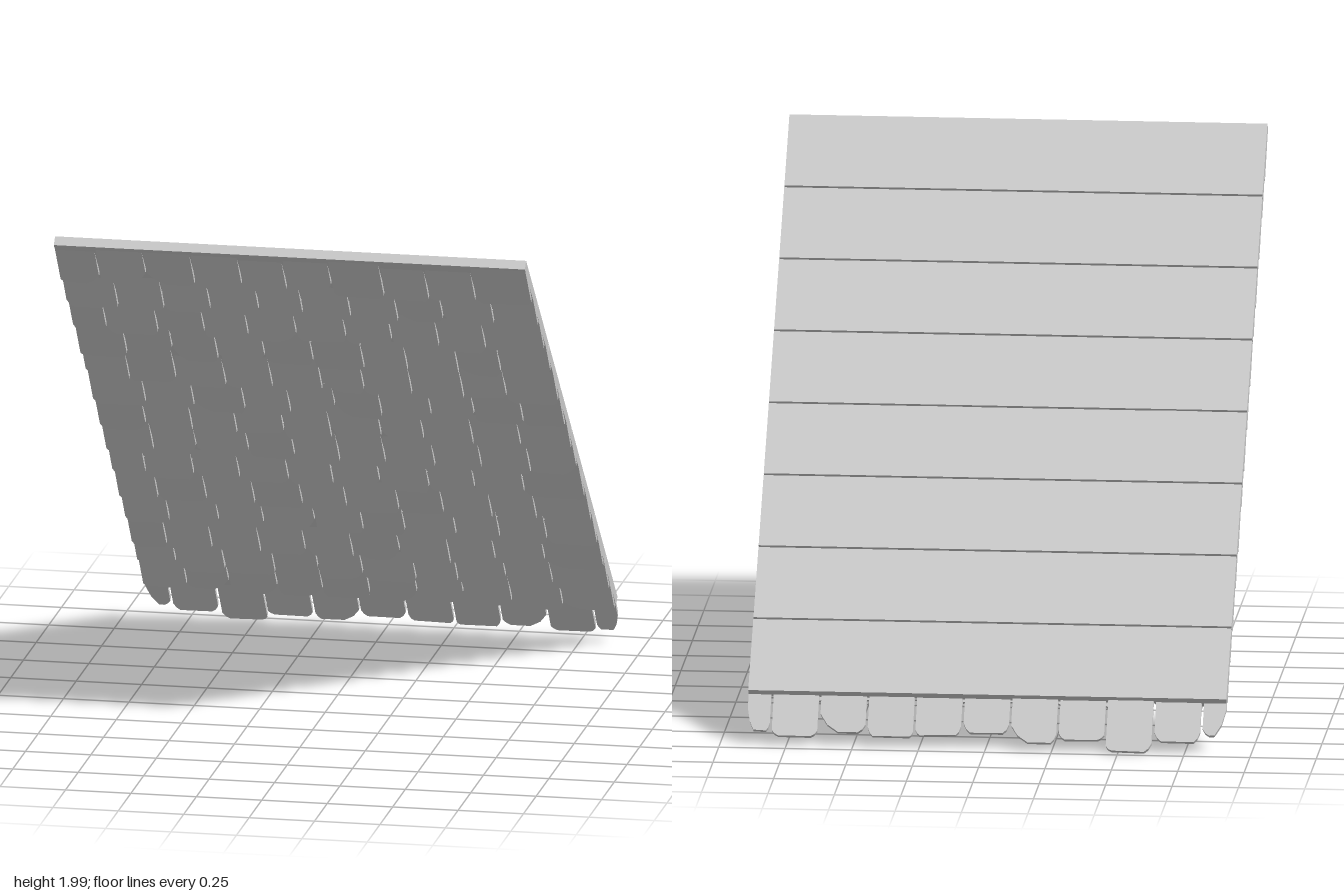
import * as THREE from 'three';

const HALF = 0.9;          // half width of the panel
const LENGTH = 2.546;      // length along the slope
const PLANK_T = 0.038;     // plank thickness
const TILE_T = 0.016;      // shingle thickness
const TILE_OUT = 0.066;    // how far the butt edge stands off the plank tops
const STEP = 0.18;         // typical shingle width

// butt-edge height of each course, and the first joint along x
const COURSES = [
  [0.04, -0.81], [0.15, -0.74], [0.26, -0.745], [0.365, -0.77], [0.5, -0.72],
  [0.62, -0.74], [0.75, -0.765], [0.88, -0.72], [1.01, -0.73], [1.135, -0.69],
  [1.265, -0.73], [1.395, -0.72], [1.53, -0.76], [1.66, -0.71], [1.79, -0.75],
];
const EAVE_Y = [0.06, 0.04, 0.006, 0.04, 0.028, 0.055, 0.045, 0.04, 0.05, 0.035, 0.05];

function seeded(seed) {
  return () => {
    seed = (seed * 16807) % 2147483647;
    return seed / 2147483647;
  };
}

// one slab with clipped lower corners: a, b are [width, height] of each clip
function shingleGeometry(w, h, a, b, slant) {
  const s = new THREE.Shape();
  s.moveTo(0, h);
  s.lineTo(0, a[1]);
  s.quadraticCurveTo(a[0] * 0.3, a[1] * 0.3, a[0], Math.max(slant, 0));
  s.lineTo(w - b[0], Math.max(-slant, 0));
  s.quadraticCurveTo(w - b[0] * 0.3, b[1] * 0.3, w, b[1]);
  s.lineTo(w, h);
  return new THREE.ExtrudeGeometry(s, { depth: TILE_T, bevelEnabled: false, curveSegments: 2 });
}

export function createModel() {
  const model = new THREE.Group();
  model.name = 'roofPanel';
  const material = new THREE.MeshStandardMaterial({ color: 0xcccccc, flatShading: true });

  // slope frame: x across, y up the slope, z out through the shingled face
  const slope = new THREE.Group();
  slope.name = 'slope';
  slope.position.set(0, 0.2, -0.87);
  slope.rotation.x = Math.PI / 4;
  model.add(slope);

  // boards
  const planks = new THREE.Group();
  planks.name = 'planks';
  slope.add(planks);
  const pitch = LENGTH / 8;
  const gap = 0.008;
  for (let i = 0; i < 8; i++) {
    const lo = i * pitch + (i ? gap / 2 : 0);
    const hi = (i + 1) * pitch - (i < 7 ? gap / 2 : 0);
    const plank = new THREE.Mesh(new THREE.BoxGeometry(HALF * 2, hi - lo, PLANK_T), material);
    plank.name = 'plank';
    plank.position.set(0, (lo + hi) / 2, PLANK_T / 2);
    planks.add(plank);
  }

  // overlapping courses of uneven shingles
  const rand = seeded(4711);
  const clip = () => (rand() < 0.25
    ? [0.04 + rand() * 0.03, 0.045 + rand() * 0.03]
    : [0.012 + rand() * 0.016, 0.015 + rand() * 0.025]);
  COURSES.forEach(([baseY, first], row) => {
    const course = new THREE.Group();
    course.name = 'shingleCourse';
    slope.add(course);

    const joints = [-HALF];
    for (let x = first; x < HALF - 0.06; x += STEP) {
      joints.push(x + (row ? (rand() - 0.5) * 0.024 : 0));
    }
    joints.push(HALF);

    for (let i = 0; i < joints.length - 1; i++) {
      const eave = row === 0;
      const y = eave ? EAVE_Y[i] : baseY + (rand() - 0.5) * 0.02;
      const bottom = (y - 0.2) * Math.SQRT2 + TILE_OUT;
      const height = Math.min(0.27, LENGTH - bottom - 0.002);
      const space = eave ? 0.009 : 0.006;
      const left = joints[i] + (i ? space / 2 : 0);
      const right = joints[i + 1] - (i < joints.length - 2 ? space / 2 : 0);
      let a = clip();
      let b = clip();
      if (eave && i === 0) a = [0.04, 0.11];
      if (eave && i === joints.length - 2) b = [0.025, 0.09];
      const slant = (rand() - 0.5) * 0.014;
      const shingle = new THREE.Mesh(shingleGeometry(right - left, height, a, b, slant), material);
      shingle.name = 'shingle';
      shingle.position.set(left, bottom, TILE_OUT - TILE_T + (rand() - 0.5) * 0.004);
      shingle.rotation.x = -0.13 - rand() * 0.02;
      course.add(shingle);
    }
  });

  return model;
}
